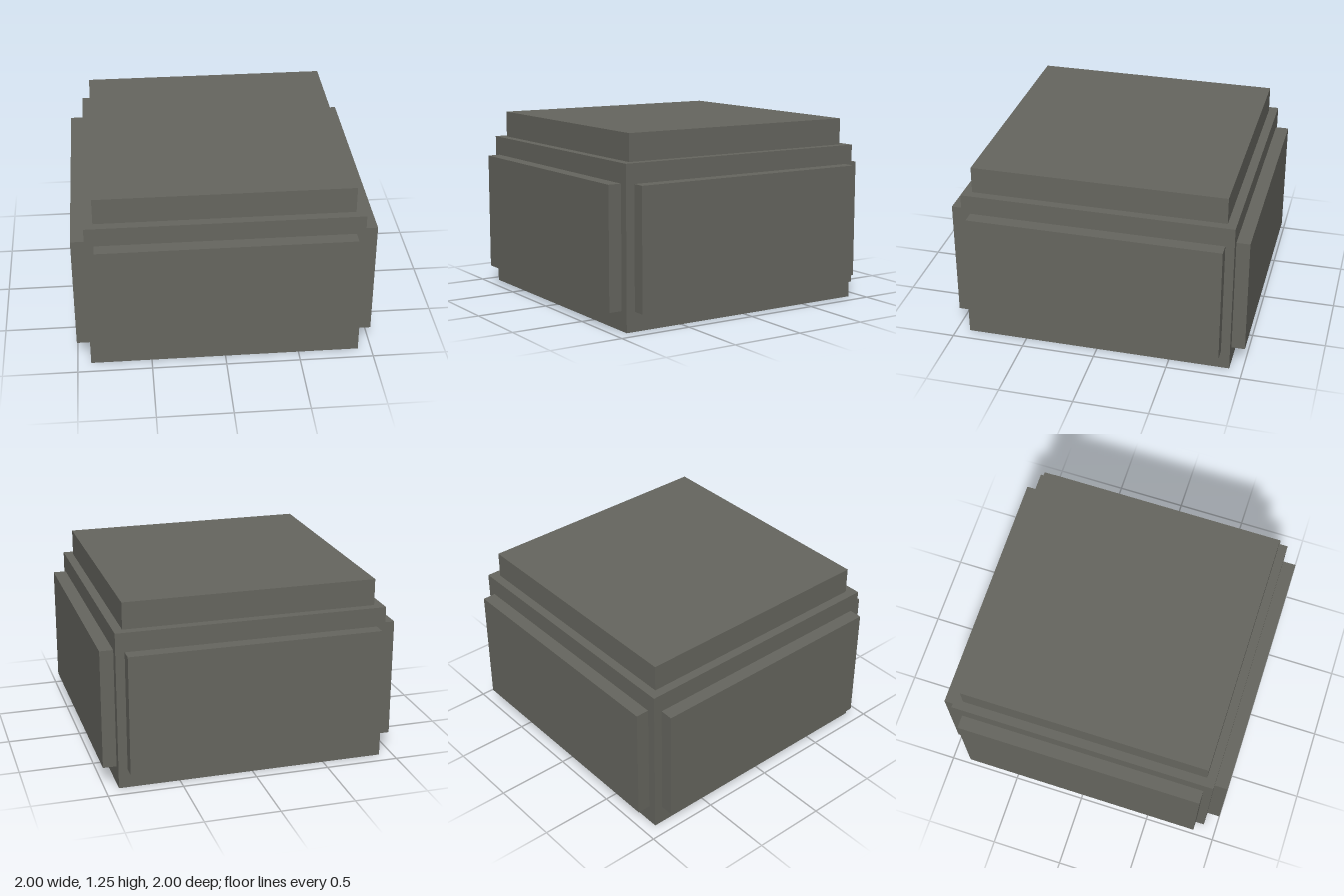
import * as THREE from 'three';

export function createModel() {
  const model = new THREE.Group();
  const stone = new THREE.MeshStandardMaterial({ color: 0x66665f });
  stone.name = 'grey stone';

  // Adds a box by its size, standing at height y
  const addBox = (name, parent, w, h, d, y, z = 0) => {
    const mesh = new THREE.Mesh(new THREE.BoxGeometry(w, h, d), stone);
    mesh.name = name;
    mesh.position.set(0, y + h / 2, z);
    parent.add(mesh);
  };

  // Main block and the stepped cap on top
  addBox('body', model, 1.82, 1.07, 1.82, 0);
  addBox('cap', model, 1.7, 0.18, 1.7, 1.07);

  // One raised panel on each side
  ['front', 'left', 'back', 'right'].forEach((side, i) => {
    const group = new THREE.Group();
    group.name = side + 'Panel';
    addBox('panel', group, 1.7, 0.81, 0.09, 0.13, 0.955);
    group.rotation.y = (i * Math.PI) / 2;
    model.add(group);
  });

  return model;
}
